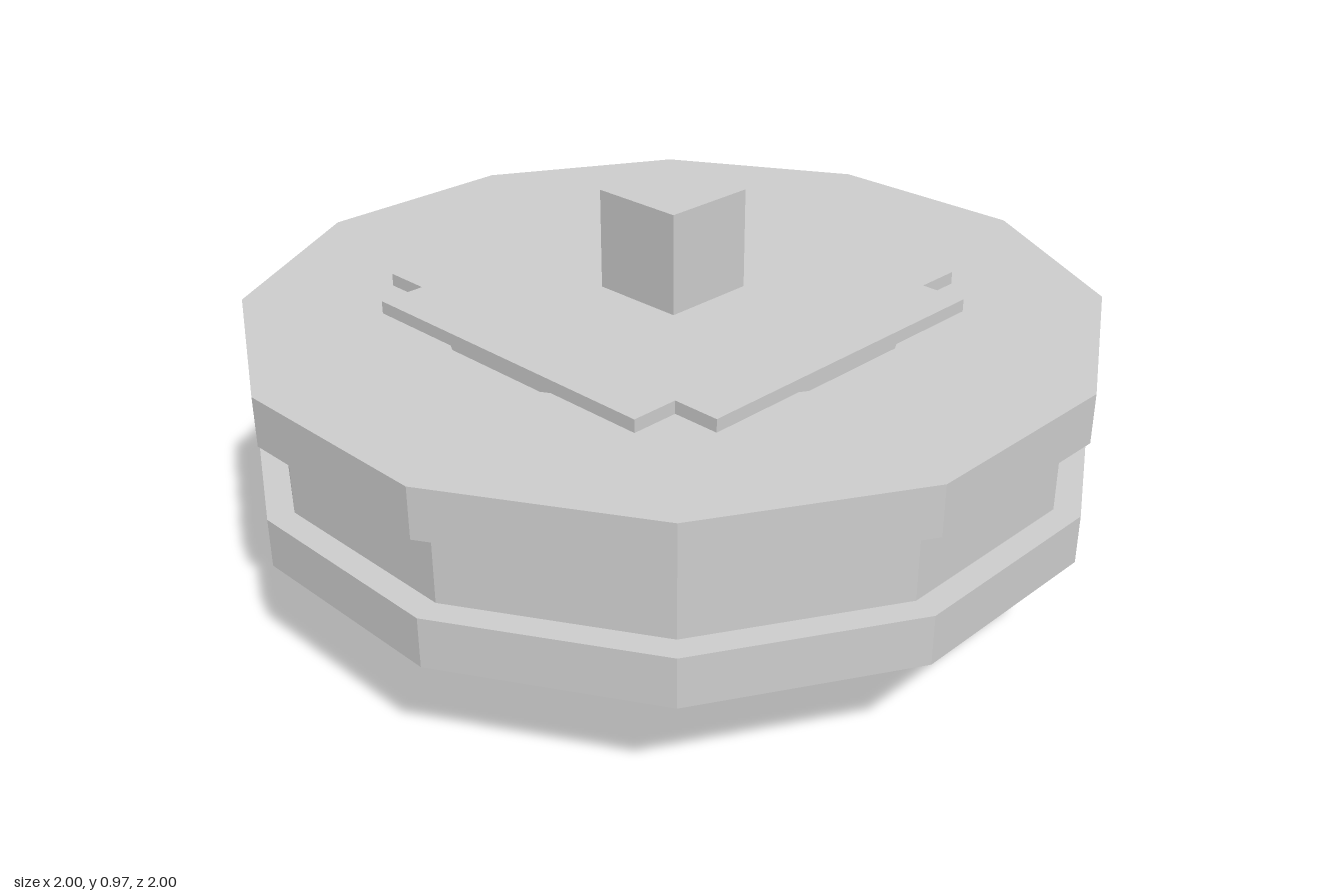
import * as THREE from 'three';

const MID = 0.487; // height of the wheel's symmetry plane

export function createModel() {
  const group = new THREE.Group();
  const material = new THREE.MeshStandardMaterial({ color: 0xcccccc, flatShading: true });

  // Corners of a twelve-sided outline with flat sides facing the axes
  const dodecagon = (apothem) => Array.from({ length: 12 }, (_, i) => {
    const a = (i + 0.5) * Math.PI / 6;
    const r = apothem / Math.cos(Math.PI / 12);
    return new THREE.Vector2(r * Math.cos(a), r * Math.sin(a));
  });

  const add = (name, geometry) => {
    const mesh = new THREE.Mesh(geometry, material);
    mesh.name = name;
    group.add(mesh);
  };

  // Horizontal slab of a shape between two heights
  const slab = (name, shape, y0, y1) => {
    const g = new THREE.ExtrudeGeometry(shape, { depth: y1 - y0, bevelEnabled: false });
    g.rotateX(-Math.PI / 2).translate(0, y0, 0);
    add(name, g);
  };

  const ring = (apothem) => {
    const shape = new THREE.Shape(dodecagon(apothem));
    shape.holes.push(new THREE.Path(dodecagon(0.555)));
    return shape;
  };

  // Rim: two wide flanges with a recessed band between them
  slab('lowerFlange', ring(1), MID - 0.211, MID - 0.092);
  slab('recessedBand', ring(0.94), MID - 0.092, MID + 0.092);
  slab('upperFlange', ring(1), MID + 0.092, MID + 0.211);

  // Hub: square block with notched corners filling the rim's opening
  const w = 0.543, n = 0.425;
  const hub = new THREE.Shape([
    [w, -n], [w, n], [n, n], [n, w], [-n, w], [-n, n],
    [-w, n], [-w, -n], [-n, -n], [-n, -w], [n, -w], [n, -n],
  ].map(([x, y]) => new THREE.Vector2(x, y)));
  slab('hub', hub, MID - 0.242, MID + 0.242);

  // Square axle stubs above and below the hub
  const stub = MID - 0.242;
  for (const side of [-1, 1]) {
    const g = new THREE.BoxGeometry(0.24, stub, 0.24);
    g.translate(0, MID + side * (0.242 + stub / 2), 0);
    add(side > 0 ? 'upperAxle' : 'lowerAxle', g);
  }
  return group;
}
